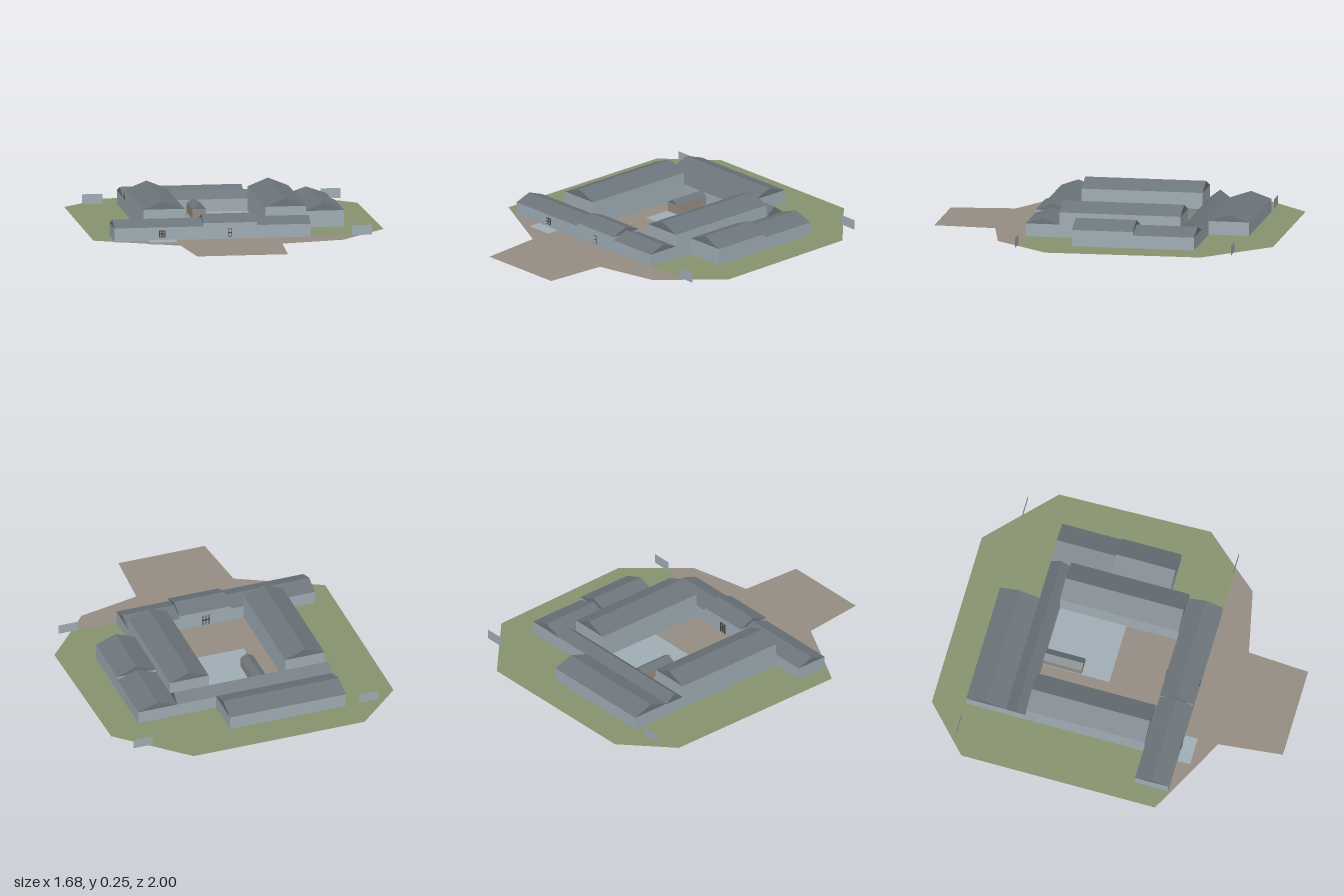
import * as THREE from 'three';

const mat = (name, color, extra = {}) => {
  const m = new THREE.MeshStandardMaterial({ color, ...extra });
  m.name = name;
  return m;
};

export function createModel() {
  const model = new THREE.Group();
  model.name = 'courtyardCompound';
  const wall = mat('pale blue grey wall', 0x9fadb5, { side: THREE.DoubleSide });
  const roof = mat('slate roof', 0x6c757b);
  const grass = mat('grass green', 0x87926f, { side: THREE.DoubleSide });
  const earth = mat('earth brown', 0x958c82, { side: THREE.DoubleSide });
  const dark = mat('dark timber', 0x45433f);

  const add = (name, geometry, material, parent = model) => {
    const mesh = new THREE.Mesh(geometry, material);
    mesh.name = name;
    parent.add(mesh);
    return mesh;
  };

  // Box given by its limits on each axis
  const box = (name, x0, x1, y0, y1, z0, z1, material, parent) => {
    const mesh = add(name, new THREE.BoxGeometry(x1 - x0, y1 - y0, z1 - z0), material, parent);
    mesh.position.set((x0 + x1) / 2, (y0 + y1) / 2, (z0 + z1) / 2);
    return mesh;
  };

  // Box walls with a gabled roof; the ridge runs along the given axis
  const building = (name, x0, x1, z0, z1, eave, ridge, axis, base = 0.05, wallMaterial = wall) => {
    const group = new THREE.Group();
    group.name = name;
    model.add(group);
    box('walls', x0, x1, base, eave, z0, z1, wallMaterial, group);
    const span = axis === 'x' ? z1 - z0 : x1 - x0;
    const length = axis === 'x' ? x1 - x0 : z1 - z0;
    const gable = new THREE.Shape([
      new THREE.Vector2(-span / 2, 0),
      new THREE.Vector2(span / 2, 0),
      new THREE.Vector2(0, ridge - eave),
    ]);
    const geometry = new THREE.ExtrudeGeometry(gable, { depth: length, bevelEnabled: false });
    geometry.translate(0, 0, -length / 2);
    if (axis === 'x') geometry.rotateY(Math.PI / 2);
    add('gabledRoof', geometry, roof, group).position.set((x0 + x1) / 2, eave, (z0 + z1) / 2);
  };

  // Flat ground sheet from x, z points, with an optional hole
  const sheet = (name, points, y, material, hole) => {
    const toVectors = (list) => list.map(([x, z]) => new THREE.Vector2(x, -z));
    const shape = new THREE.Shape(toVectors(points));
    if (hole) shape.holes.push(new THREE.Path(toVectors(hole)));
    add(name, new THREE.ShapeGeometry(shape).rotateX(-Math.PI / 2), material).position.y = y;
  };

  // Lawn, forecourt with approach road, and inner courtyard
  const yard = [[-0.31, -0.47], [0.17, -0.47], [0.17, 0.25], [-0.31, 0.25]];
  sheet('lawn', [[-0.58, -1], [0.45, -1], [0.82, -0.65], [0.84, 0.24], [0.674, 0.43],
    [-0.77, 0.43], [-0.845, 0.39], [-0.845, -0.75]], 0.056, grass, yard);
  sheet('forecourt', [[-0.77, 0.43], [0.674, 0.43], [0.56, 0.565], [0.2, 0.645], [0.18, 1],
    [-0.34, 1], [-0.38, 0.63]], 0.056, earth);
  sheet('courtyard', yard, 0.055, earth);

  // Front range in three sections
  building('frontRangeRight', -0.73, -0.22, 0.24, 0.435, 0.13, 0.165, 'x');
  building('frontRangeMiddle', -0.22, 0.085, 0.24, 0.435, 0.148, 0.186, 'x');
  building('frontRangeLeft', 0.085, 0.395, 0.24, 0.435, 0.13, 0.165, 'x');

  // Tall side wings beside the courtyard
  building('rightWing', -0.535, -0.3, -0.457, 0.24, 0.2, 0.247, 'z');
  building('leftWing', 0.162, 0.395, -0.457, 0.24, 0.2, 0.247, 'z');

  // Rear ranges
  building('rearConnector', -0.535, 0.395, -0.577, -0.457, 0.13, 0.175, 'x');
  building('rearHall', -0.535, 0.162, -0.81, -0.577, 0.134, 0.174, 'x');

  // Outer annex on the left
  building('annexFront', 0.395, 0.63, -0.225, 0.125, 0.15, 0.197, 'z');
  building('annexBack', 0.395, 0.63, -0.577, -0.225, 0.13, 0.17, 'z');

  // Sunken block in the courtyard with a small shed on it
  box('sunkenBlock', -0.19, 0.162, 0.003, 0.059, -0.457, -0.065, wall);
  building('courtyardShed', -0.187, -0.11, -0.455, -0.23, 0.115, 0.138, 'z', 0, earth);

  // Paved porch before the entrance
  box('porchSlab', -0.54, -0.38, 0.047, 0.058, 0.435, 0.51, wall);

  // Free-standing boundary panels
  for (const [x, z] of [[-0.675, -0.812], [0.688, -0.812], [0.688, 0.432]]) {
    add('boundaryPanel', new THREE.PlaneGeometry(0.115, 0.057), wall).position.set(x, 0.087, z);
  }

  // Entrance window and door on the front
  box('frontWindowFrame', -0.476, -0.44, 0.073, 0.112, 0.435, 0.438, dark);
  for (const x of [-0.466, -0.45]) {
    for (const y of [0.083, 0.102]) {
      box('frontWindowPane', x - 0.005, x + 0.005, y - 0.006, y + 0.006, 0.438, 0.44, earth);
    }
  }
  box('frontDoorFrame', -0.082, -0.058, 0.068, 0.115, 0.435, 0.438, dark);
  box('frontDoorLeaf', -0.079, -0.061, 0.071, 0.09, 0.438, 0.44, wall);
  box('frontDoorPane', -0.079, -0.061, 0.094, 0.112, 0.438, 0.44, wall);

  // Slatted screen facing the courtyard
  for (let i = 0; i < 3; i++) {
    const x = -0.09 + i * 0.018;
    box('courtyardScreenPost', x - 0.003, x + 0.003, 0.06, 0.12, 0.234, 0.24, dark);
  }
  box('courtyardScreenRail', -0.095, -0.049, 0.088, 0.094, 0.235, 0.24, dark);

  return model;
}
